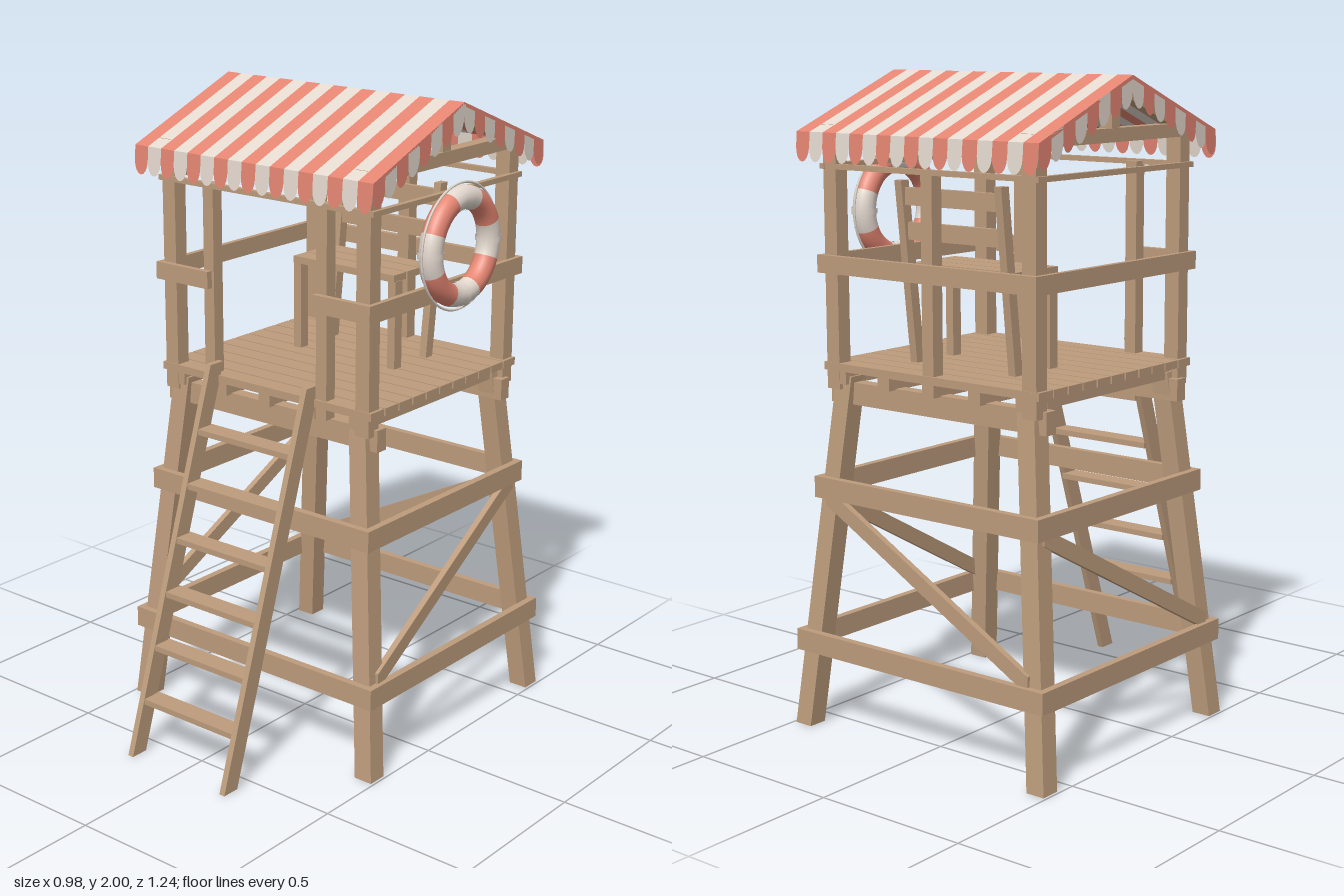
import * as THREE from 'three';

const mat = (name, color, side = THREE.FrontSide) => {
  const m = new THREE.MeshStandardMaterial({ color, side });
  m.name = name;
  return m;
};

export function createModel() {
  const wood = mat('wood', 0xbd9c7c);
  const red = mat('coral red', 0xe48572, THREE.DoubleSide);
  const white = mat('off white', 0xe4d9cf, THREE.DoubleSide);
  const model = new THREE.Group();
  model.name = 'lifeguardTower';
  const ZC = -0.17; // middle of the tower in z

  const add = (name, geo, material, parent = model) => {
    const m = new THREE.Mesh(geo, material);
    m.name = name;
    parent.add(m);
    return m;
  };

  // Box between two end points along one axis, sheared so its ends stay square to that axis.
  const beam = (name, p0, p1, axis, size) => {
    const [a, b] = p0[axis] < p1[axis] ? [p0, p1] : [p1, p0];
    const g = new THREE.BoxGeometry(1, 1, 1), p = g.attributes.position;
    for (let i = 0; i < p.count; i++) {
      const v = [p.getX(i), p.getY(i), p.getZ(i)];
      const t = v[axis] + 0.5;
      const q = v.map((c, k) => {
        const along = a[k] + (b[k] - a[k]) * t;
        return k === axis ? along : along + c * size[k];
      });
      p.setXYZ(i, ...q);
    }
    g.computeVertexNormals();
    return add(name, g, wood);
  };
  const X = 0, Y = 1, Z = 2;

  // Splayed legs
  const hx = y => 0.46 - 0.1 * y, hz = y => 0.42 - 0.0875 * y;
  for (const s of [-1, 1]) for (const f of [-1, 1])
    beam('leg', [s * hx(0), 0, ZC + f * hz(0)], [s * hx(1.1), 1.1, ZC + f * hz(1.1)], Y, [0.062, 0, 0.062]);

  // Two rings of horizontal beams
  for (const y of [0.272, 0.755]) for (const s of [-1, 1]) {
    const x = hx(y) + 0.05, z = hz(y) + 0.05;
    beam('crossBeam', [-x, y, ZC + s * (z - 0.012)], [x, y, ZC + s * (z - 0.012)], X, [0, 0.066, 0.024]);
    beam('sideBeam', [s * (x - 0.012), y, ZC - z], [s * (x - 0.012), y, ZC + z], Z, [0.024, 0.066, 0]);
  }

  // Diagonal braces on the back and both sides
  const y0 = 0.31, y1 = 0.73, out = 0.03;
  beam('backBrace', [-hx(y0) + 0.01, y0, ZC - hz(y0) - out], [hx(y1) + 0.01, y1, ZC - hz(y1) - out], X, [0, 0.054, 0.02]);
  for (const s of [-1, 1])
    beam('sideBrace', [s * (hx(y0) + out), y0, ZC + hz(y0)], [s * (hx(y1) + out), y1, ZC - hz(y1) - 0.01], Z, [0.02, 0.054, 0]);

  // Platform: bearers, joists and planks
  for (const s of [-1, 1])
    beam('bearer', [-0.415, 1.047, ZC + s * 0.32], [0.415, 1.047, ZC + s * 0.32], X, [0, 0.068, 0.042]);
  for (let i = -2; i <= 2; i++)
    beam('joist', [i * 0.175, 1.098, -0.54], [i * 0.175, 1.098, 0.195], Z, [0.045, 0.042, 0]);
  for (let i = 0; i < 11; i++) {
    const z = -0.512 + i * 0.068;
    beam('plank', [-0.413, 1.128, z], [0.413, 1.128, z], X, [0, 0.024, 0.062]);
  }

  // Cabin posts and railings
  for (const s of [-1, 1]) {
    for (const z of [0.172, -0.517])
      beam('cornerPost', [s * 0.377, 1.06, z], [s * 0.377, 1.82, z], Y, [0.05, 0, 0.048]);
    beam('entryPost', [s * 0.22, 1.08, 0.172], [s * 0.22, 1.73, 0.172], Y, [0.04, 0, 0.04]);
    beam('frontRail', [s * 0.415, 1.438, 0.206], [s * 0.205, 1.438, 0.206], X, [0, 0.054, 0.02]);
    beam('sideRail', [s * 0.408, 1.438, -0.56], [s * 0.408, 1.438, 0.216], Z, [0.018, 0.054, 0]);
    beam('sideTopBar', [s * 0.405, 1.727, -0.545], [s * 0.405, 1.727, 0.2], Z, [0.018, 0.016, 0]);
    const zb = ZC + s * 0.362;
    beam('topBar', [-0.413, 1.727, zb], [0.413, 1.727, zb], X, [0, 0.016, 0.018]);
  }
  beam('backRail', [-0.415, 1.438, -0.55], [0.415, 1.438, -0.55], X, [0, 0.054, 0.02]);
  beam('backPost', [0, 1.08, -0.517], [0, 1.73, -0.517], Y, [0.042, 0, 0.042]);

  // Bench with a leaning back
  for (const s of [-1, 1]) {
    beam('benchLeg', [s * 0.188, 1.14, -0.207], [s * 0.188, 1.42, -0.207], Y, [0.028, 0, 0.036]);
    beam('benchUpright', [s * 0.19, 1.14, -0.37], [s * 0.19, 1.69, -0.432], Y, [0.026, 0, 0.034]);
  }
  for (let i = 0; i < 3; i++)
    beam('benchSlat', [-0.2, 1.43, -0.215 - i * 0.068], [0.2, 1.43, -0.215 - i * 0.068], X, [0, 0.022, 0.062]);
  for (const [y, z] of [[1.54, -0.411], [1.643, -0.423]])
    beam('benchBackBoard', [-0.178, y, z], [0.178, y, z], X, [0, 0.052, 0.018]);

  // Ladder
  for (const s of [-1, 1])
    beam('ladderRail', [s * 0.19, 0, 0.59], [s * 0.19, 1.18, 0.205], Y, [0.02, 0, 0.058]);
  for (let i = 0; i < 6; i++) {
    const y = 0.168 + i * 0.1625, z = 0.585 - 0.326 * y - 0.002;
    beam('ladderTread', [-0.185, y, z], [0.185, y, z], X, [0, 0.018, 0.066]);
  }

  // Roof frame
  const RIDGE = 2, EAVE = 1.83, HALF = 0.425;
  const roofY = d => RIDGE - (RIDGE - EAVE) * Math.abs(d) / HALF;
  for (const s of [-1, 1]) {
    const x = s * 0.377;
    beam('tieBeam', [x, 1.83, ZC - 0.377], [x, 1.83, ZC + 0.377], Z, [0.045, 0.04, 0]);
    beam('kingPost', [x, 1.85, ZC], [x, 1.96, ZC], Y, [0.04, 0, 0.04]);
    for (const f of [-1, 1])
      beam('rafter', [x, roofY(0.39) - 0.028, ZC + f * 0.39], [x, RIDGE - 0.028, ZC], Z, [0.036, 0.028, 0]);
  }
  beam('ridgeBeam', [-0.43, 1.955, ZC], [0.43, 1.955, ZC], X, [0, 0.04, 0.03]);

  // Striped canopy with scalloped edges
  const canopy = new THREE.Group();
  canopy.name = 'canopy';
  model.add(canopy);
  const N = 17, RX = 0.455, w = 2 * RX / N, T = 0.012;
  const profile = new THREE.Shape([
    [-HALF, EAVE], [-HALF, EAVE - T], [0, RIDGE - T], [HALF, EAVE - T], [HALF, EAVE], [0, RIDGE],
  ].map(p => new THREE.Vector2(...p)));
  // One rounded flap from u to u + width, hanging from height top(u)
  const flap = (u, width, top, drop) => {
    const pts = [[u, top(u)]];
    for (let i = 0; i <= 8; i++) {
      const a = Math.PI * i / 8, k = u + width * (1 - Math.cos(a)) / 2;
      pts.push([k, top(k) - drop * (0.5 + 0.5 * Math.sin(a))]);
    }
    pts.push([u + width, top(u + width)]);
    return new THREE.ShapeGeometry(new THREE.Shape(pts.map(p => new THREE.Vector2(...p))));
  };
  for (let i = 0; i < N; i++) {
    const m = i % 2 ? white : red, x = -RX + i * w;
    const strip = new THREE.ExtrudeGeometry(profile, { depth: w, bevelEnabled: false });
    add('canopyStripe', strip.rotateY(-Math.PI / 2).translate(x + w, 0, ZC), m, canopy);
    for (const s of [-1, 1]) {
      const g = flap(x, w, () => 0, 0.088).rotateX(-s * 0.08);
      add('eaveScallop', g.translate(0, EAVE, ZC + s * HALF), m, canopy);
    }
  }
  const M = 16, gw = 2 * HALF / M;
  for (let i = 0; i < M; i++) for (const s of [-1, 1]) {
    const k = i < M / 2 ? i : M - 1 - i;
    const g = flap(-HALF + i * gw, gw, roofY, 0.084);
    add('gableScallop', g.rotateY(-Math.PI / 2).translate(s * RX, 0, ZC), k % 2 ? white : red, canopy);
  }

  // Life ring hung on the side railing
  const ring = new THREE.Group();
  ring.name = 'lifeRing';
  ring.position.set(0.452, 1.575, ZC);
  ring.rotation.y = Math.PI / 2;
  model.add(ring);
  const arc = (name, r, mid, len, m) =>
    add(name, new THREE.TorusGeometry(0.146, r, 14, 8, len).rotateZ(mid - len / 2), m, ring);
  for (let i = 0; i < 8; i++)
    arc('ringSegment', 0.036, i * Math.PI / 4, Math.PI / 4, i % 2 ? red : white);
  for (let i = 0; i < 4; i++) arc('ringBand', 0.04, i * Math.PI / 2, 0.12, white);
  add('ringRope', new THREE.TorusGeometry(0.191, 0.004, 6, 48), white, ring);

  return model;
}
